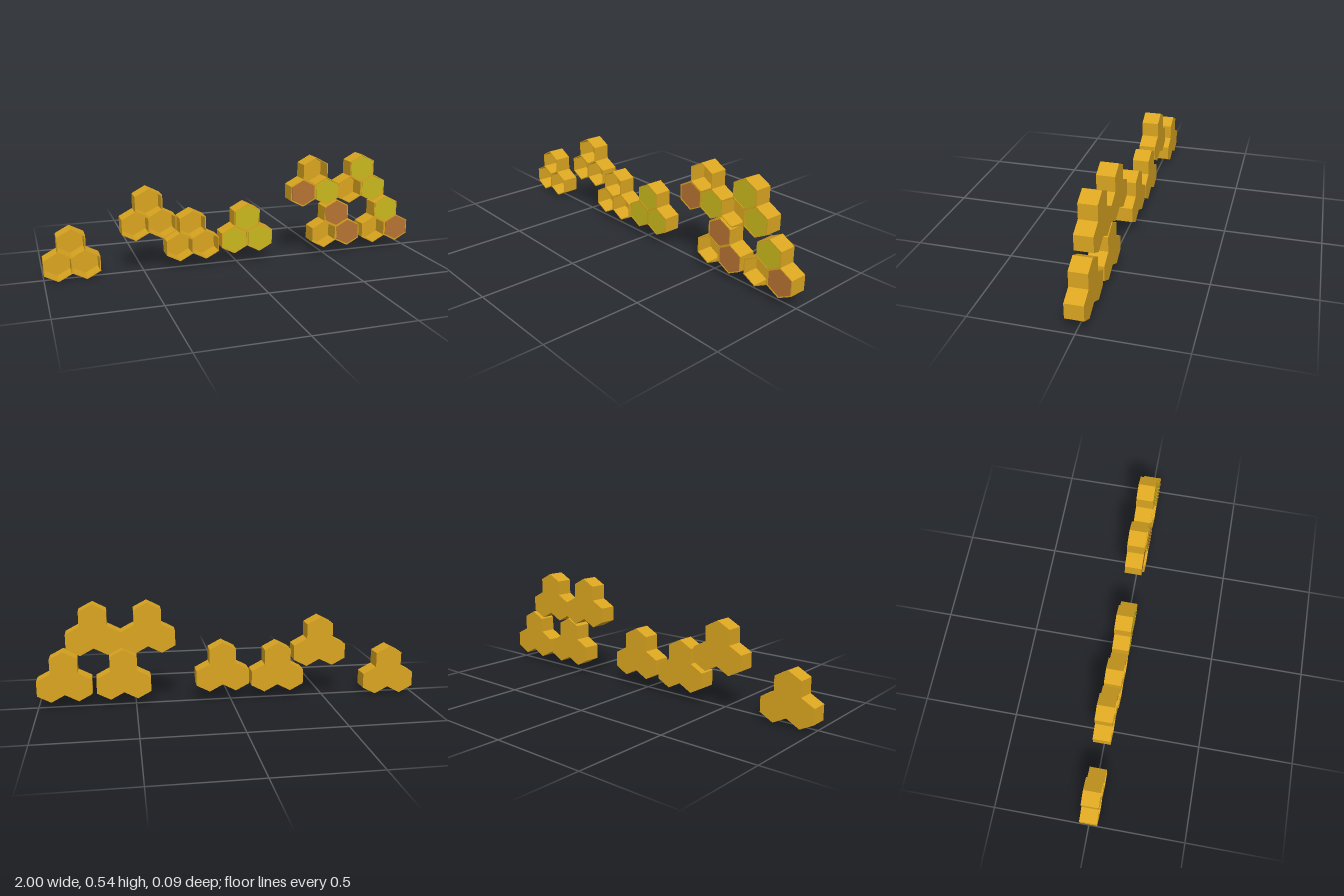
import * as THREE from 'three';

const HALF = 0.0695;   // half width of a hexagonal cell
const SIDE = 0.077;    // vertical edge length
const CAP = 0.0365;    // rise of the pointed top and bottom
const DEPTH = 0.09, BACK = 0.005, WALL = 0.005, DOOR = 0.004;
const ROW = SIDE + CAP;
const CELLS = {
  left: [-HALF, CAP + SIDE / 2],
  right: [HALF, CAP + SIDE / 2],
  top: [0, CAP + SIDE / 2 + ROW],
};

const material = (color) => new THREE.MeshStandardMaterial({ color, flatShading: true });

// Pointed-top hexagon around (cx, cy), shrunk by an inset
function hexPoints(cx, cy, inset) {
  const k = 1 - inset / HALF;
  const w = HALF * k, s = (SIDE / 2) * k, t = (SIDE / 2 + CAP) * k;
  return [[0, -t], [w, -s], [w, s], [0, t], [-w, s], [-w, -s]]
    .map(([x, y]) => new THREE.Vector2(cx + x, cy + y));
}

// Outer contour of three joined cells, mirrored about x = 0
function clusterOutline() {
  const right = [
    [HALF, 0], [2 * HALF, CAP], [2 * HALF, ROW], [HALF, ROW + CAP], [HALF, 2 * ROW],
  ];
  const left = right.map(([x, y]) => [-x, y]).reverse();
  return [[0, CAP], ...right, [0, 2 * ROW + CAP], ...left].map(([x, y]) => new THREE.Vector2(x, y));
}

function extrude(shape, depth, z) {
  return new THREE.ExtrudeGeometry(shape, { depth, bevelEnabled: false }).translate(0, 0, z);
}

export function createModel() {
  const model = new THREE.Group();
  model.name = 'honeycombShelves';
  const gold = material(0xdaa520), olive = material(0xc9b81c), copper = material(0xb87333);

  // Shared parts: open frame, back panel and one door per cell
  const frameShape = new THREE.Shape(clusterOutline());
  for (const [x, y] of Object.values(CELLS)) {
    frameShape.holes.push(new THREE.Path(hexPoints(x, y, WALL).reverse()));
  }
  const frameGeo = extrude(frameShape, DEPTH - BACK, -DEPTH / 2 + BACK);
  const backGeo = extrude(new THREE.Shape(clusterOutline()), BACK, -DEPTH / 2);
  const doorGeo = {};
  for (const [cell, [x, y]] of Object.entries(CELLS)) {
    doorGeo[cell] = extrude(new THREE.Shape(hexPoints(x + 0.001, y, WALL + 0.001)), DOOR, DEPTH / 2 - DOOR - 0.001);
  }

  // Centre x, bottom y and door colours of every shelf unit
  const units = [
    [-0.861, 0, {}],
    [-0.472, 0.174, {}],
    [-0.246, 0.043, {}],
    [0.047, 0.057, { left: olive, right: olive, top: olive }],
    [0.432, 0.28, { left: copper, right: olive }],
    [0.705, 0.28, { right: olive, top: olive }],
    [0.561, 0.04, { right: copper, top: copper }],
    [0.861, 0.04, { right: copper, top: olive }],
  ];
  units.forEach(([x, y, doors], i) => {
    const unit = new THREE.Group();
    unit.name = `shelfUnit${i + 1}`;
    const add = (name, geo, mat) => {
      const mesh = new THREE.Mesh(geo, mat);
      mesh.name = name;
      unit.add(mesh);
    };
    add('frame', frameGeo, gold);
    add('backPanel', backGeo, gold);
    for (const [cell, mat] of Object.entries(doors)) add(`${cell}Door`, doorGeo[cell], mat);
    unit.position.set(x, y, 0);
    model.add(unit);
  });
  return model;
}
